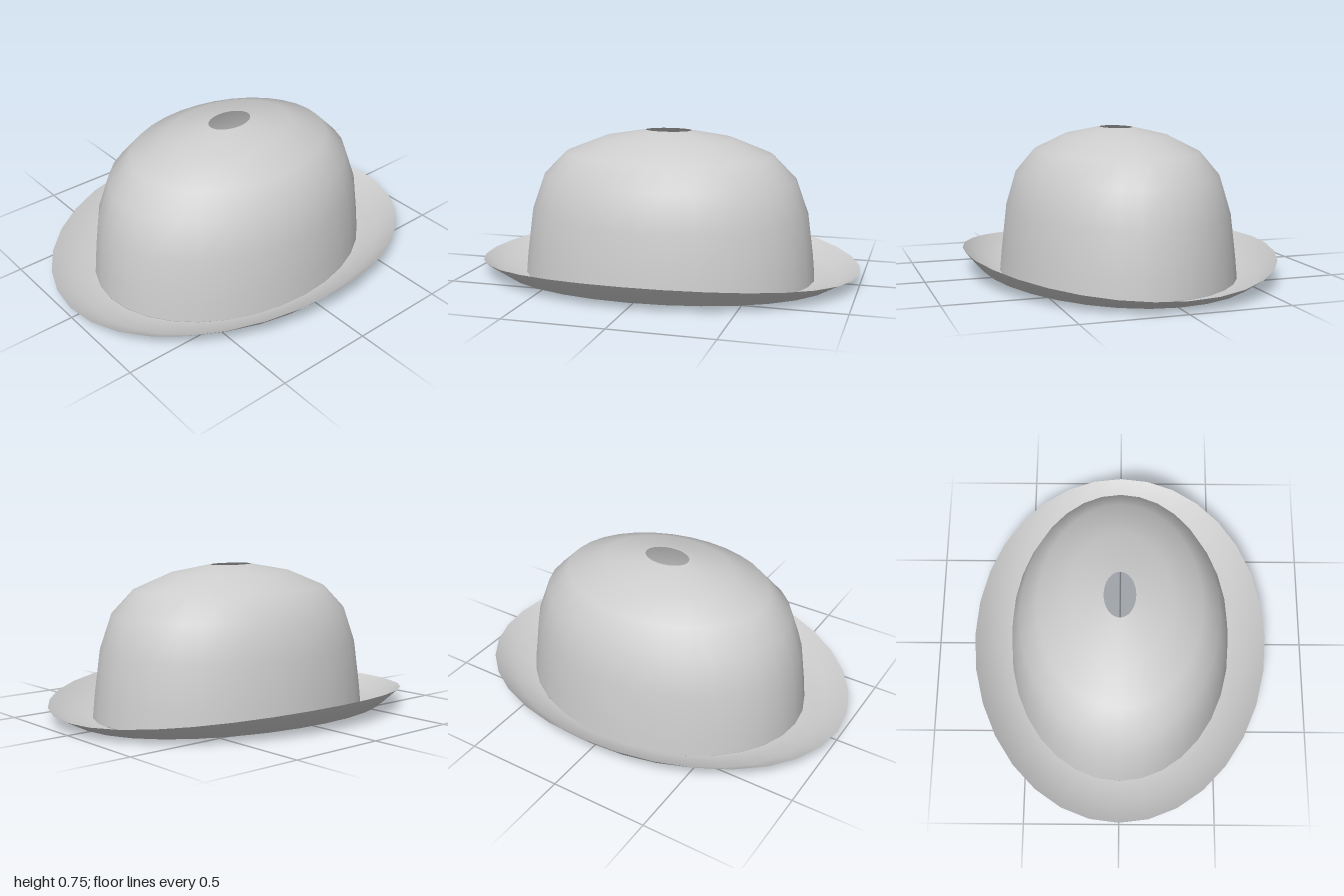
import * as THREE from 'three';

const SIDES = 32;

// Skin a stack of oval rings: [x radius, z radius, height at front/back, height at the sides]
function ovalShell(name, rings, material) {
  const positions = [];
  const indices = [];
  rings.forEach(([rx, rz, y, ySide = y], r) => {
    for (let i = 0; i < SIDES; i++) {
      const a = (i / SIDES) * Math.PI * 2;
      const s = Math.sin(a);
      positions.push(rx * s, y + (ySide - y) * s * s, rz * Math.cos(a));
      if (r === 0) continue;
      const j = (i + 1) % SIDES;
      const low = (r - 1) * SIDES;
      const high = r * SIDES;
      indices.push(low + i, low + j, high + j, low + i, high + j, high + i);
    }
  });
  const geometry = new THREE.BufferGeometry();
  geometry.setAttribute('position', new THREE.Float32BufferAttribute(positions, 3));
  geometry.setIndex(indices);
  geometry.computeVertexNormals();
  const mesh = new THREE.Mesh(geometry, material);
  mesh.name = name;
  return mesh;
}

export function createModel() {
  const felt = new THREE.MeshStandardMaterial({ color: 0xcccccc, side: THREE.DoubleSide });
  felt.name = 'light grey felt';

  const hat = new THREE.Group();
  hat.name = 'roundHat';

  // Domed crown, open at the base and with a small oval hole at the top
  hat.add(ovalShell('crown', [
    [0.6, 0.77, 0.003],
    [0.59, 0.76, 0.11],
    [0.565, 0.73, 0.33],
    [0.513, 0.665, 0.51],
    [0.415, 0.547, 0.63],
    [0.26, 0.345, 0.71],
    [0.095, 0.13, 0.748],
    [0.08, 0.12, 0.75],
  ], felt));

  // Brim, curling up higher at the sides than at front and back
  hat.add(ovalShell('brim', [
    [0.79, 1.0, 0.06, 0.13],
    [0.7, 0.89, 0.005, 0.03],
    [0.6, 0.77, 0, 0.003],
  ], felt));

  return hat;
}
